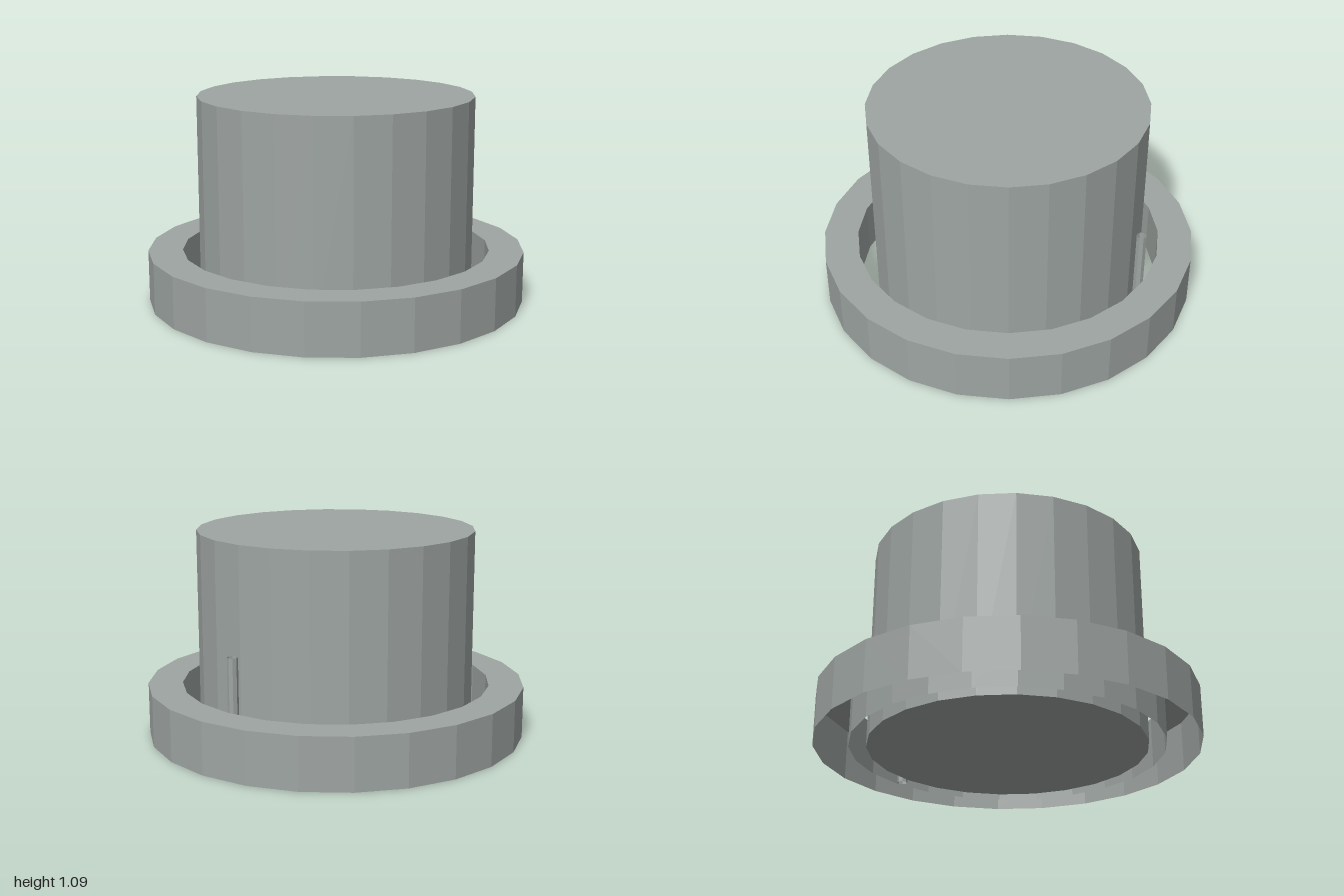
import * as THREE from 'three';

const SIDES = 24;
const UNIT = 1 / 11; // outer rim radius is 11 units

export function createModel() {
  const model = new THREE.Group();
  model.name = 'model';

  const grey = new THREE.MeshStandardMaterial({ color: 0x9ea5a2, flatShading: true, side: THREE.DoubleSide });
  grey.name = 'grey';

  const add = (name, geometry, x = 0, y = 0) => {
    const mesh = new THREE.Mesh(geometry, grey);
    mesh.name = name;
    mesh.position.set(x, y, 0);
    model.add(mesh);
  };

  // Capped central drum
  const drumHeight = 12 * UNIT;
  add('drum', new THREE.CylinderGeometry(8 * UNIT, 8 * UNIT, drumHeight, SIDES), 0, drumHeight / 2);

  // Surrounding ring: outer wall, flat top, inner wall; hollow underneath
  const ringProfile = [[11, 0], [11, 3], [9, 3], [9, 0]]
    .map(([r, y]) => new THREE.Vector2(r * UNIT, y * UNIT));
  add('ring', new THREE.LatheGeometry(ringProfile, SIDES));

  // Thin open tube standing in the gap
  const pinHeight = 6 * UNIT;
  add('pin', new THREE.CylinderGeometry(0.3 * UNIT, 0.3 * UNIT, pinHeight, 8, 1, true), 8.6 * UNIT, pinHeight / 2);

  return model;
}
